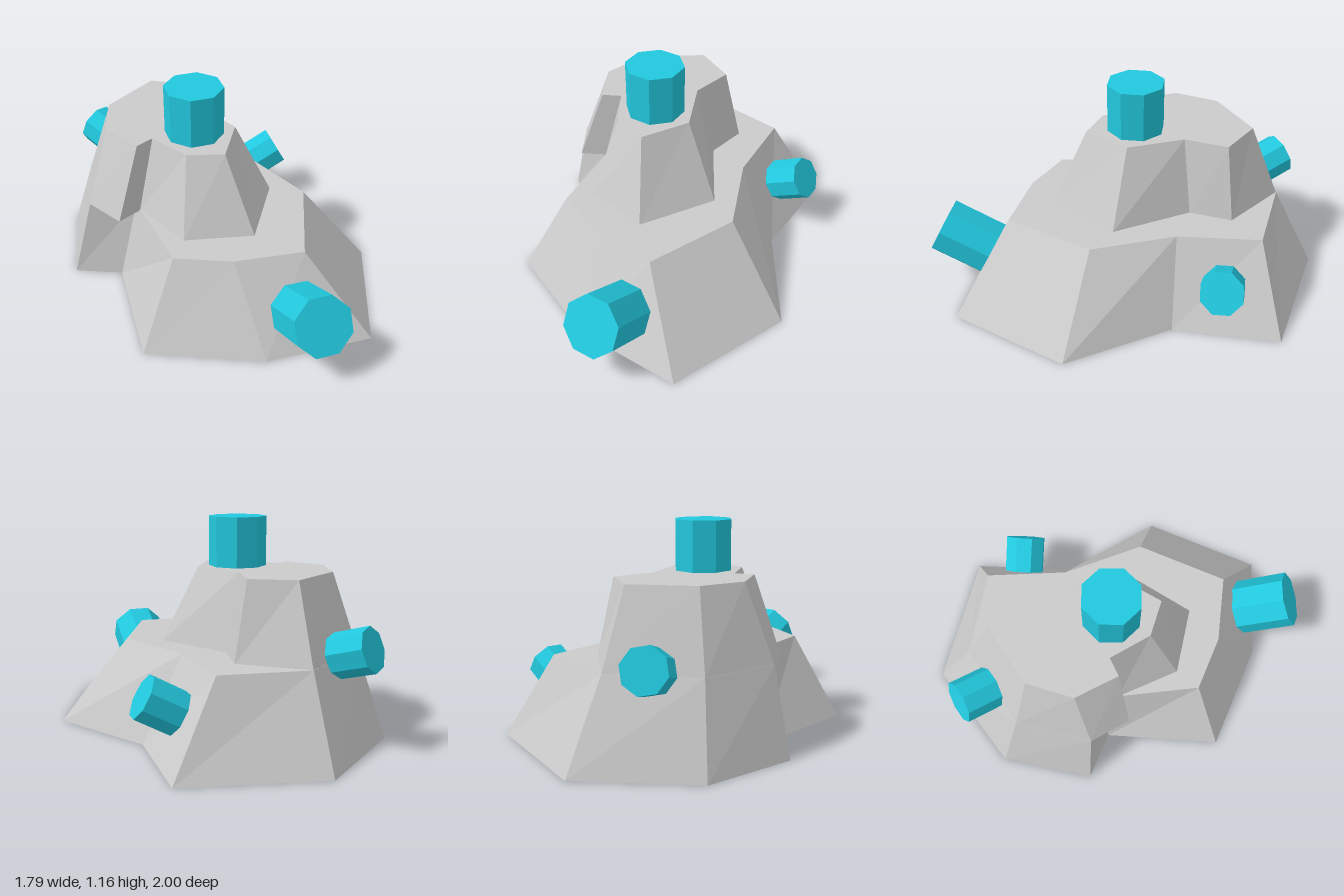
import * as THREE from 'three';

const grey = new THREE.MeshStandardMaterial({ color: 0xcccccc, flatShading: true });
const cyan = new THREE.MeshStandardMaterial({ color: 0x22c8de, flatShading: true });

// Solid between two matching outlines of [x, z] points at heights y0 and y1
function tier(name, lower, upper, y0, y1) {
  const pos = [];
  const tri = (...pts) => pts.forEach((p) => pos.push(...p));
  const at = (p, y) => [p[0], y, p[1]];
  const n = lower.length;
  for (let i = 0; i < n; i++) {
    const j = (i + 1) % n;
    const a = at(lower[i], y0), b = at(lower[j], y0);
    const c = at(upper[i], y1), d = at(upper[j], y1);
    tri(b, a, c);
    tri(b, c, d);
  }
  // Flat caps, each triangle turned to face outwards
  const cap = (ring, y, up) => {
    const pts = ring.map((p) => new THREE.Vector2(p[0], p[1]));
    for (const [i, j, k] of THREE.ShapeUtils.triangulateShape(pts, [])) {
      const area = THREE.ShapeUtils.area([pts[i], pts[j], pts[k]]);
      const order = (area < 0) === up ? [i, j, k] : [k, j, i];
      tri(...order.map((m) => at(ring[m], y)));
    }
  };
  cap(lower, y0, false);
  cap(upper, y1, true);
  const geo = new THREE.BufferGeometry();
  geo.setAttribute('position', new THREE.Float32BufferAttribute(pos, 3));
  geo.computeVertexNormals();
  const mesh = new THREE.Mesh(geo, grey);
  mesh.name = name;
  return mesh;
}

// Eight-sided peg centred at a point, lying along the axis vector
function peg(name, radius, centre, axis) {
  const dir = new THREE.Vector3(...axis);
  const mesh = new THREE.Mesh(new THREE.CylinderGeometry(radius, radius, dir.length(), 8), cyan);
  mesh.position.set(...centre);
  mesh.quaternion.setFromUnitVectors(new THREE.Vector3(0, 1, 0), dir.normalize());
  mesh.name = name;
  return mesh;
}

export function createModel() {
  const group = new THREE.Group();
  group.name = 'steppedRock';

  // Wide lower tier
  group.add(tier('lowerTier',
    [[0.17, -1], [0.38, -0.45], [0.89, -0.08], [0.89, 0.63], [0.34, 0.84],
      [-0.3, 0.835], [-0.52, 0.22], [-0.79, 0.22], [-0.9, -0.29], [-0.58, -0.88]],
    [[-0.02, -0.77], [0.18, -0.36], [0.51, -0.02], [0.51, 0.51], [0.15, 0.615],
      [-0.16, 0.615], [-0.42, 0.16], [-0.675, 0.185], [-0.75, -0.235], [-0.485, -0.66]],
    0, 0.47));

  // Narrow upper tier
  group.add(tier('upperTier',
    [[-0.1, -0.555], [-0.05, -0.32], [0.32, -0.045], [0.25, 0.4], [-0.12, 0.47],
      [-0.39, 0.22], [-0.485, 0.33], [-0.675, 0.185], [-0.75, -0.235], [-0.485, -0.66]],
    [[-0.16, -0.48], [-0.115, -0.24], [0.115, -0.015], [0.08, 0.265], [-0.12, 0.285],
      [-0.315, 0.14], [-0.385, 0.22], [-0.58, 0.06], [-0.61, -0.2], [-0.415, -0.51]],
    0.465, 0.885));

  // Pegs on the summit and standing out from the slopes
  group.add(
    peg('topPeg', 0.16, [-0.1, 1.02, 0.055], [0, 0.28, 0]),
    peg('frontPeg', 0.16, [0.547, 0.27, 0.78], [0.115, 0.155, 0.27]),
    peg('backLeftPeg', 0.12, [0.258, 0.293, -0.68], [0.17, 0.1, -0.06]),
    peg('backRightPeg', 0.12, [-0.7, 0.52, -0.5], [-0.165, 0.06, -0.11]),
  );
  return group;
}
